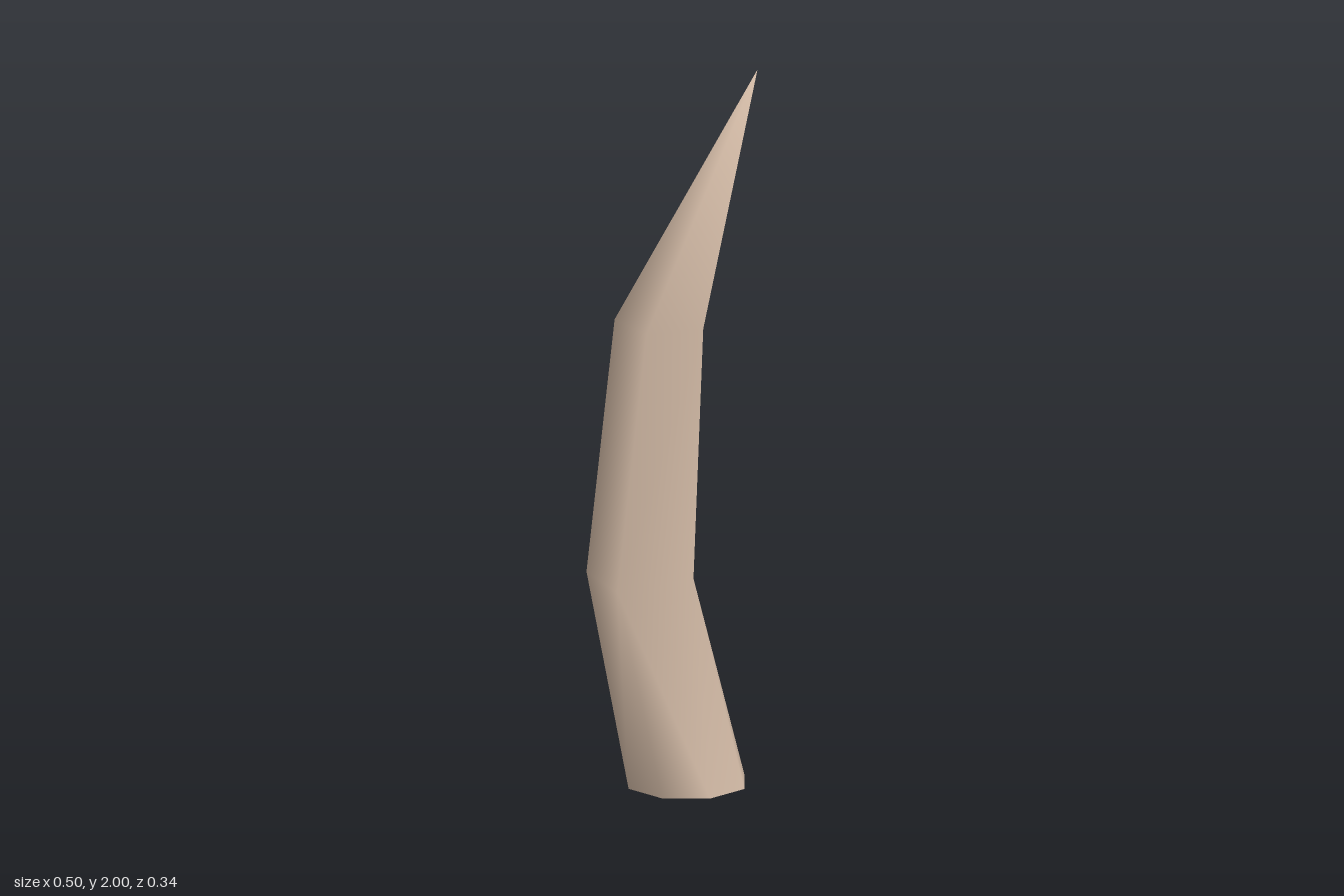
import * as THREE from 'three';

export function createModel() {
  const ivory = new THREE.MeshStandardMaterial({ color: 0xd9c0ab, side: THREE.DoubleSide });
  ivory.name = 'ivory';

  // Cross-sections, all running from +x towards +z
  const base = Array.from({ length: 8 }, (_, k) => {
    const a = THREE.MathUtils.degToRad(8 + 45 * k);
    return [0.035 + 0.171 * Math.cos(a), 0, 0.171 * Math.sin(a)];
  });
  const lowerBend = [[-0.01, 0.615, 0.115], [-0.25, 0.61, 0.115], [-0.22, 0.61, -0.105], [0.02, 0.615, -0.105]];
  const upperBend = [[0.04, 1.31, 0.082], [-0.14, 1.32, 0.083], [-0.14, 1.32, -0.09], [0.04, 1.31, -0.09]];
  const tip = [0.25, 2, 0.015];

  const index = [];
  for (let i = 0; i < 4; i++) {
    const j = (i + 1) % 4;
    const [b0, b1, b2] = [2 * i, 2 * i + 1, (2 * i + 2) % 8];
    const [l, lNext, u, uNext] = [8 + i, 8 + j, 12 + i, 12 + j];
    // Eight-sided root narrowing to four sides
    index.push(b0, l, b1, b1, l, b2, b2, l, lNext);
    // Middle shaft
    index.push(l, u, lNext, lNext, u, uNext);
    // Point
    index.push(u, 16, uNext);
  }

  const geometry = new THREE.BufferGeometry();
  const points = [...base, ...lowerBend, ...upperBend, tip];
  geometry.setAttribute('position', new THREE.Float32BufferAttribute(points.flat(), 3));
  geometry.setIndex(index);
  geometry.computeVertexNormals();

  const horn = new THREE.Mesh(geometry, ivory);
  horn.name = 'horn';
  const group = new THREE.Group();
  group.name = 'curvedHorn';
  group.add(horn);
  return group;
}
